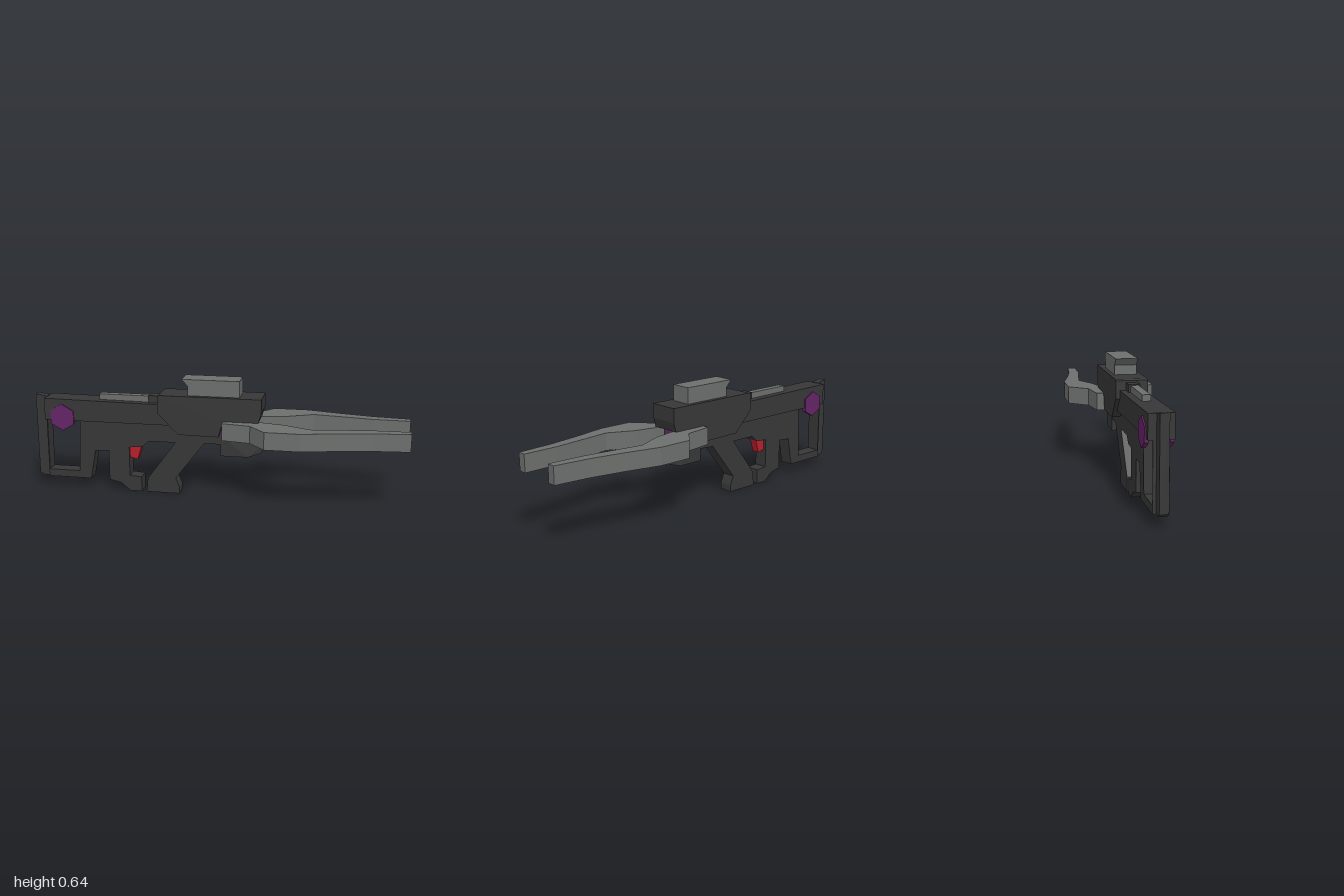
import * as THREE from 'three';

export function createModel() {
  const model = new THREE.Group();
  const material = (name, color) => {
    const m = new THREE.MeshStandardMaterial({ color });
    m.name = name;
    return m;
  };
  const dark = material('charcoal', 0x373737);
  const grey = material('steel grey', 0x6c6f6d);
  const purple = material('purple', 0x642366);
  const red = material('red', 0xb81e2b);

  const add = (name, geometry, mat) => {
    const mesh = new THREE.Mesh(geometry, mat);
    mesh.name = name;
    model.add(mesh);
    return mesh;
  };
  const vectors = (points) => points.map(([x, y]) => new THREE.Vector2(x, y));

  // Side profile (x, y) extruded evenly to both sides of z = 0
  const slab = (points, halfWidth, hole) => {
    const shape = new THREE.Shape(vectors(points));
    if (hole) shape.holes.push(new THREE.Path(vectors(hole)));
    return new THREE.ExtrudeGeometry(shape, { depth: halfWidth * 2, bevelEnabled: false })
      .translate(0, 0, -halfWidth);
  };

  // Butt plate
  add('buttPlate', slab([
    [-1, 0.52], [-1, 0.075], [-0.98, 0.06], [-0.935, 0.06], [-0.935, 0.51],
  ], 0.022), dark);

  // Stock frame with its opening, trigger guard, grip and lower receiver
  add('lowerBody', slab([
    [-0.94, 0.42], [-0.94, 0.06], [-0.7, 0.06], [-0.67, 0.22], [-0.595, 0.225],
    [-0.595, 0.06], [-0.53, 0.045], [-0.48, 0.003], [-0.415, 0.003], [-0.415, 0.085],
    [-0.48, 0.09], [-0.48, 0.25], [-0.41, 0.255], [-0.37, 0.29], [-0.225, 0.29],
    [-0.38, 0.08], [-0.387, 0.003], [-0.205, 0.003], [-0.205, 0.04], [-0.225, 0.09],
    [-0.07, 0.29], [0.025, 0.295], [0.025, 0.42],
  ], 0.038, [[-0.935, 0.1], [-0.765, 0.1], [-0.75, 0.39], [-0.935, 0.39]]), dark);

  // Wide upper body
  add('upperBody', slab([
    [-0.94, 0.508], [-0.94, 0.39], [-0.2, 0.39], [-0.2, 0.5],
  ], 0.061), dark);

  // Receiver housing
  add('receiver', slab([
    [-0.31, 0.55], [-0.31, 0.46], [-0.2, 0.348], [0.015, 0.345], [0.04, 0.43],
    [0.225, 0.43], [0.24, 0.48], [0.24, 0.556], [-0.295, 0.556],
  ], 0.081), dark);

  // Raised sight with an undercut rear
  add('sight', slab([
    [-0.183, 0.642], [-0.15, 0.605], [-0.15, 0.55], [0.123, 0.55], [0.123, 0.642],
  ], 0.057), grey);

  // Top rail and the block it runs into
  add('topRail', new THREE.BoxGeometry(0.275, 0.035, 0.04).translate(-0.503, 0.518, 0), grey);
  add('railBlock', new THREE.BoxGeometry(0.08, 0.045, 0.06).translate(-0.33, 0.518, 0), dark);

  // Tapered nose below the prongs
  const nose = slab([
    [0.02, 0.345], [0.02, 0.23], [0.165, 0.23], [0.235, 0.252], [0.265, 0.318], [0.25, 0.345],
  ], 0.04);
  const p = nose.attributes.position;
  for (let i = 0; i < p.count; i++) {
    if (p.getX(i) > 0.23) p.setZ(i, p.getZ(i) * 0.62);
  }
  nose.computeVertexNormals();
  add('nose', nose, dark);

  // Energy core between the prong roots
  add('core', new THREE.BoxGeometry(0.19, 0.085, 0.08).translate(0.105, 0.387, 0), purple);

  // Trigger
  add('trigger', slab([
    [-0.485, 0.26], [-0.48, 0.19], [-0.438, 0.18], [-0.41, 0.27],
  ], 0.022), red);

  // Mirrored front prongs, drawn in plan (x, z) and extruded upwards
  const prong = [
    [0.035, 0.045], [0.24, 0.06], [0.36, 0.085], [0.495, 0.147], [0.81, 0.105], [1, 0.1],
    [1, 0.145], [0.81, 0.163], [0.64, 0.195], [0.455, 0.238], [0.275, 0.238],
    [0.19, 0.14], [0.04, 0.117],
  ];
  for (const [name, side] of [['frontProng', 1], ['backProng', -1]]) {
    const shape = new THREE.Shape(vectors(prong.map(([x, z]) => [x, -z * side])));
    const geometry = new THREE.ExtrudeGeometry(shape, { depth: 0.092, bevelEnabled: false })
      .rotateX(-Math.PI / 2).translate(0, 0.339, 0);
    add(name, geometry, grey);
  }

  // Six-sided studs on the two flanks of the stock
  for (const [name, side] of [['frontStud', 1], ['backStud', -1]]) {
    const stud = add(name, new THREE.CylinderGeometry(0.073, 0.073, 0.02, 6).toNonIndexed(), purple);
    stud.geometry.computeVertexNormals();
    stud.geometry.rotateX(Math.PI / 2);
    stud.position.set(-0.84, 0.407, side * 0.058);
  }

  return model;
}
